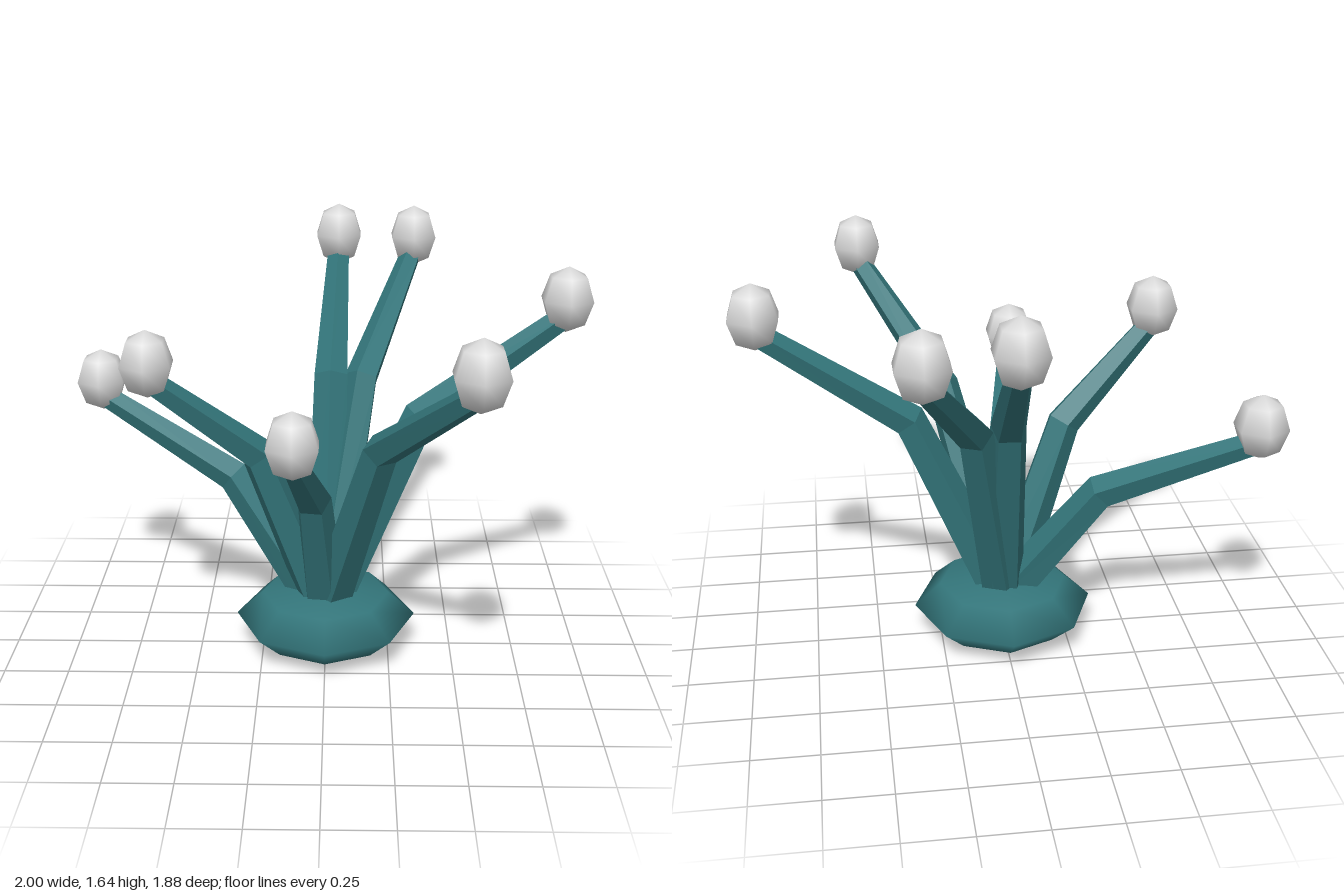
import * as THREE from 'three';

const SIDES = 5;

// Five-sided tapering limb through rings of { rad, y, r, dr, dy } in the vertical plane at an azimuth
function limbGeometry(azimuth, rings) {
  const out = new THREE.Vector3(Math.cos(azimuth), 0, Math.sin(azimuth));
  const up = new THREE.Vector3(0, 1, 0);
  const positions = [];
  const index = [];
  for (const { rad, y, r, dr, dy } of rings) {
    const axis = out.clone().multiplyScalar(dr).addScaledVector(up, dy).normalize();
    const flat = axis.dot(out);
    const ridge = out.clone().multiplyScalar(-axis.y).addScaledVector(up, flat);
    const side = axis.clone().cross(ridge);
    const centre = out.clone().multiplyScalar(rad).addScaledVector(up, y);
    for (let i = 0; i < SIDES; i++) {
      const a = (i / SIDES) * Math.PI * 2;
      const p = centre.clone()
        .addScaledVector(ridge, r * Math.cos(a))
        .addScaledVector(side, r * Math.sin(a));
      positions.push(p.x, p.y, p.z);
    }
  }
  for (let k = 0; k < rings.length - 1; k++) {
    for (let i = 0; i < SIDES; i++) {
      const j = (i + 1) % SIDES;
      const a = k * SIDES + i, b = k * SIDES + j;
      index.push(a, b, b + SIDES, a, b + SIDES, a + SIDES);
    }
  }
  // End caps
  const last = (rings.length - 1) * SIDES;
  for (let i = 1; i < SIDES - 1; i++) {
    index.push(0, i + 1, i, last, last + i, last + i + 1);
  }
  const indexed = new THREE.BufferGeometry();
  indexed.setAttribute('position', new THREE.Float32BufferAttribute(positions, 3));
  indexed.setIndex(index);
  const geometry = indexed.toNonIndexed();
  geometry.computeVertexNormals();
  return geometry;
}

export function createModel() {
  const model = new THREE.Group();
  const teal = new THREE.MeshStandardMaterial({ color: 0x33757a });
  teal.name = 'teal';
  const paleGrey = new THREE.MeshStandardMaterial({ color: 0xdcdcdc });
  paleGrey.name = 'paleGrey';

  // Squashed eight-sided foot
  const foot = new THREE.Mesh(new THREE.SphereGeometry(0.355, 8, 4), teal);
  foot.name = 'foot';
  foot.scale.y = 0.38;
  foot.position.y = 0.14;
  model.add(foot);

  // Bulb centres, one per tentacle
  const bulbs = [
    [-0.91, 1.01, -0.35],
    [-0.635, 1.27, 0.28],
    [-0.105, 1.075, 0.585],
    [0.045, 1.515, -0.8],
    [0.36, 1.5, -0.84],
    [0.505, 1.405, 0.83],
    [0.905, 1.42, -0.075],
  ];
  const bulbGeometry = new THREE.SphereGeometry(0.105, 6, 4);
  bulbGeometry.rotateY(Math.PI / 2);
  bulbGeometry.scale(1, 1.2, 1);

  bulbs.forEach(([x, y, z], i) => {
    const tentacle = new THREE.Group();
    tentacle.name = `tentacle${i + 1}`;

    // Limb rises steeply from the foot, then bends outwards
    const reach = Math.hypot(x, z);
    const tipY = y - 0.06;
    const base = new THREE.Vector2(0, 0.15);
    const elbow = new THREE.Vector2(reach * 0.4, tipY * 0.715);
    const tip = new THREE.Vector2(reach, tipY);
    const lower = elbow.clone().sub(base).normalize();
    const upper = tip.clone().sub(elbow).normalize();
    const bend = lower.clone().add(upper);
    const ring = (p, r, d) => ({ rad: p.x, y: p.y, r, dr: d.x, dy: d.y });
    const limb = new THREE.Mesh(
      limbGeometry(Math.atan2(z, x), [
        ring(base, 0.088, lower),
        ring(elbow, 0.069, bend),
        ring(tip, 0.045, upper),
      ]),
      teal
    );
    limb.name = 'limb';

    const bulb = new THREE.Mesh(bulbGeometry, paleGrey);
    bulb.name = 'bulb';
    bulb.position.set(x, y, z);

    tentacle.add(limb, bulb);
    model.add(tentacle);
  });

  return model;
}
